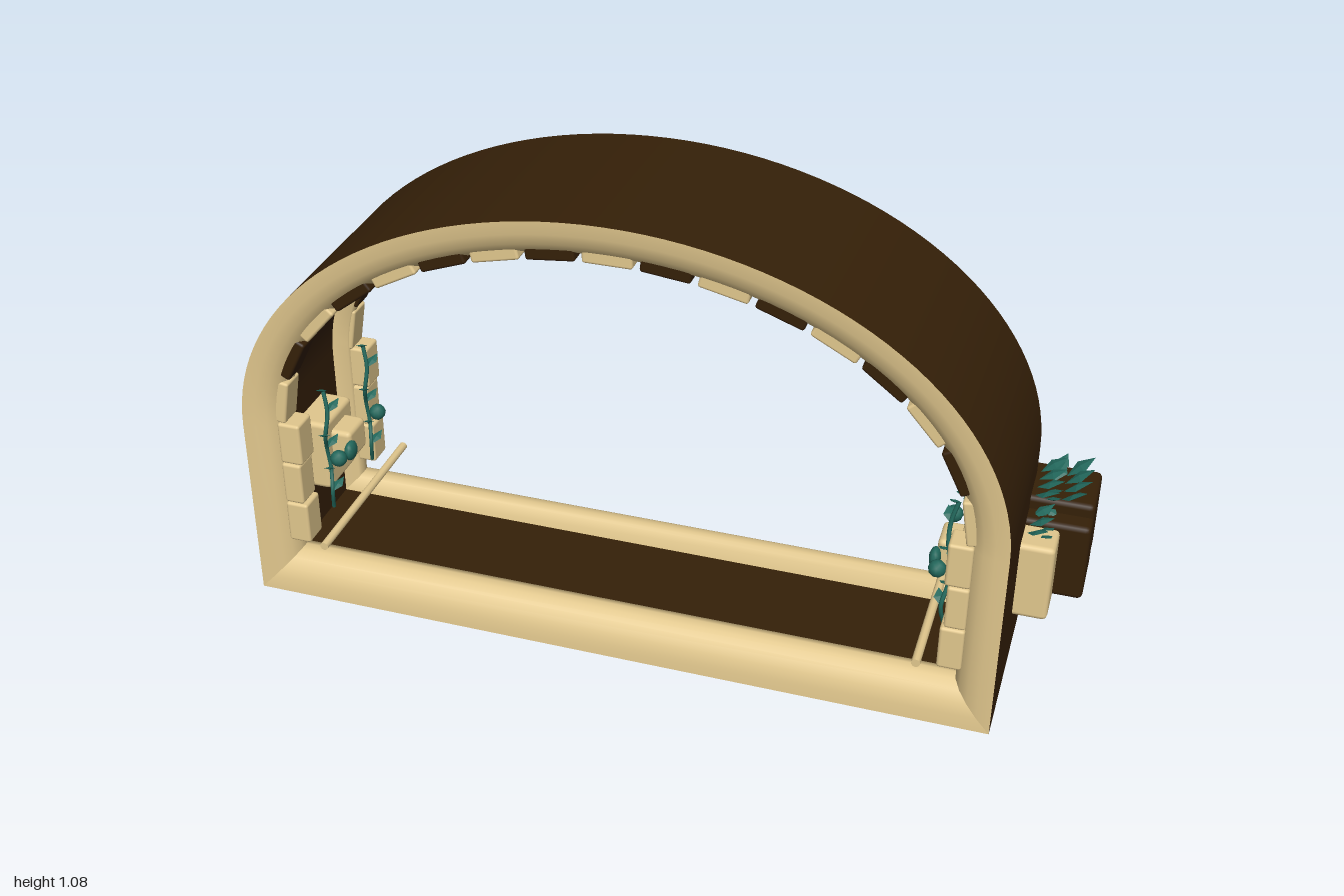
import * as THREE from 'three';
import { mergeGeometries } from 'three/addons/utils/BufferGeometryUtils.js';
import { RoundedBoxGeometry } from 'three/addons/geometries/RoundedBoxGeometry.js';

const material = (name, color) => {
  const m = new THREE.MeshStandardMaterial({ color });
  m.name = name;
  return m;
};

// Point lists of the arch outline, inset by t: the sill, then jamb, crown, jamb
const sillHeight = t => t * 1.1;
const sillPath = t => [[-0.86 + t, sillHeight(t)], [0.86 - t, sillHeight(t)]];
function archPath(t) {
  const w = 0.86 - t, points = [[w, sillHeight(t)]];
  for (let i = 0; i <= 64; i++) {
    const a = Math.PI * i / 64;
    points.push([w * Math.cos(a), 0.45 + (0.625 - t) * Math.sin(a)]);
  }
  points.push([-w, sillHeight(t)]);
  return points;
}

// Sweeps a profile of [inset, z] pairs round the outline, with mitred corners
function sweep(profile) {
  const pieces = [sillPath, archPath].map(path => {
    const position = [], index = [], n = profile.length;
    const columns = profile.map(([t]) => path(t));
    const count = columns[0].length;
    for (let i = 0; i < count; i++) {
      profile.forEach(([, z], j) => position.push(...columns[j][i], z));
    }
    for (let i = 0; i < count - 1; i++) {
      for (let j = 0; j < n - 1; j++) {
        const a = i * n + j, b = a + 1, c = a + n, d = c + 1;
        index.push(a, b, c, b, d, c);
      }
    }
    const g = new THREE.BufferGeometry();
    g.setAttribute('position', new THREE.Float32BufferAttribute(position, 3));
    g.setIndex(index);
    g.computeVertexNormals();
    return g;
  });
  return mergeGeometries(pieces);
}

export function createModel() {
  const model = new THREE.Group();
  model.name = 'archway';
  const tan = material('sandstone', 0xe2c88e);
  const dark = material('darkBrown', 0x352008);
  const teal = material('tealLeaf', 0x22685c);

  const add = (parent, name, geometry, mat) => {
    const mesh = new THREE.Mesh(geometry, mat);
    mesh.name = name;
    parent.add(mesh);
    return mesh;
  };

  // Dark shell and its two rounded rims
  add(model, 'outerShell', sweep([[0, 0.253], [0, -0.2]]), dark);
  add(model, 'innerLining', sweep([[0.05, -0.12], [0.05, 0.17]]), dark);
  const rim = [[0, 0], [0.03, 0.002], [0.055, 0.01], [0.075, 0.025],
    [0.087, 0.045], [0.09, 0.065], [0.085, 0.085], [0.05, 0.095]];
  add(model, 'backRim', sweep(rim.map(([t, d]) => [t, -0.2 + d])), tan);
  add(model, 'frontRim', sweep(rim.map(([t, d]) => [t, 0.253 - d]).reverse()), tan);

  // Alternating stones under the crown, spaced evenly along the curve
  const crown = new THREE.EllipseCurve(0, 0.45, 0.779, 0.542, 0, Math.PI);
  const stones = 17;
  const stone = new RoundedBoxGeometry(0.108, 0.032, 0.06, 2, 0.006);
  for (const z of [0.2, -0.15]) {
    for (let i = 0; i < stones; i++) {
      const u = (i + 0.5) / stones;
      const p = crown.getPointAt(u), d = crown.getTangentAt(u);
      const mesh = add(model, 'crownStone', stone, i % 2 ? dark : tan);
      mesh.position.set(p.x, p.y, z);
      mesh.rotation.z = Math.atan2(d.y, d.x);
    }
  }

  // Broad pointed leaf growing along +x from its base
  const leafGeometry = new THREE.OctahedronGeometry(1, 0);
  leafGeometry.scale(0.5, 0.07, 0.3);
  leafGeometry.translate(0.5, 0, 0);

  for (const s of [1, -1]) {
    const side = new THREE.Group();
    side.name = s > 0 ? 'leftSide' : 'rightSide';
    model.add(side);

    // Rounded block given by its limits
    const block = (name, mat, x0, x1, y0, y1, z0, z1, r = 0.012) => {
      const g = new RoundedBoxGeometry(x1 - x0, y1 - y0, z1 - z0, 2, r);
      add(side, name, g, mat).position.set(s * (x0 + x1) / 2, (y0 + y1) / 2, (z0 + z1) / 2);
    };
    // Leaf turned by yaw from straight outwards, and raised by lift
    const leaf = (x, y, z, length, yaw, lift) => {
      const mesh = add(side, 'leaf', leafGeometry, teal);
      mesh.position.set(s * x, y, z);
      mesh.scale.setScalar(length);
      mesh.rotation.set(0, s > 0 ? -yaw : Math.PI + yaw, lift, 'YZX');
    };

    // Outer planter blocks
    block('planterFrontBlock', tan, 0.83, 0.935, 0.15, 0.34, -0.13, 0.025);
    block('planterBackBlock', tan, 0.77, 0.93, 0.18, 0.345, -0.249, -0.15);
    block('planterLowerBox', dark, 0.85, 1, 0.165, 0.355, -0.205, -0.055);
    block('planterUpperBox', dark, 0.84, 1, 0.195, 0.385, -0.25, -0.1);

    // Leaves on top of the planters
    for (let i = 0; i < 4; i++) {
      const z = -0.205 + i * 0.032, yaw = (i - 1.5) * 0.3;
      leaf(0.868, 0.385, z, 0.068, yaw, 0.5);
      leaf(0.925, 0.385, z, 0.075, yaw, 0.62);
      leaf(0.9, 0.385, z, 0.06, i < 2 ? -1.2 : 1.2, 0.5);
    }
    for (let i = 0; i < 3; i++) {
      const z = -0.075 + i * 0.03;
      leaf(0.868, 0.348, z, 0.06, (i - 1) * 0.5, 0.5);
      leaf(0.9, 0.348, z, 0.045, i < 1 ? -1.2 : 1, 0.45);
    }

    // Stacked stones against the jambs
    for (const z of [0.205, -0.155]) {
      for (let i = 0; i < 3; i++) {
        const inner = i === 1 ? 0.738 : 0.731;
        block('jambStone', tan, inner, 0.785, 0.14 + i * 0.107, 0.245 + i * 0.107,
          z - 0.032, z + 0.032, 0.007);
      }
    }

    // Wall block with a projecting boss and bud
    block('wallBlock', tan, 0.738, 0.83, 0.2, 0.38, -0.04, 0.1);
    block('wallBoss', tan, 0.69, 0.75, 0.27, 0.35, -0.01, 0.075);
    const bud = add(side, 'bud', new THREE.SphereGeometry(0.024, 10, 8), teal);
    bud.position.set(s * 0.688, 0.31, 0.08);
    bud.scale.x = 0.55;

    // Climbing vines
    for (const z of [0.12, -0.095]) {
      const points = [];
      for (let i = 0; i <= 6; i++) {
        points.push(new THREE.Vector3(s * (0.725 - 0.008 * Math.sin(i * 1.7)),
          0.17 + i * 0.052, z + 0.014 * Math.sin(i * 1.9)));
      }
      const curve = new THREE.CatmullRomCurve3(points);
      add(side, 'vine', new THREE.TubeGeometry(curve, 24, 0.005, 6), teal);
      points.slice(1).forEach((p, i) => {
        leaf(Math.abs(p.x), p.y, p.z, 0.045, (i % 2 ? 1 : -1) * 1.9, 0.5);
      });
      const flower = add(side, 'vineBud', new THREE.IcosahedronGeometry(0.02, 1), teal);
      flower.position.set(s * 0.7, 0.31, z);
    }

    // Low rail running through the opening
    const rail = add(side, 'lowRail', new THREE.CylinderGeometry(0.01, 0.01, 0.45, 10), tan);
    rail.rotation.x = Math.PI / 2;
    rail.position.set(s * 0.69, 0.15, 0.025);
  }
  return model;
}
